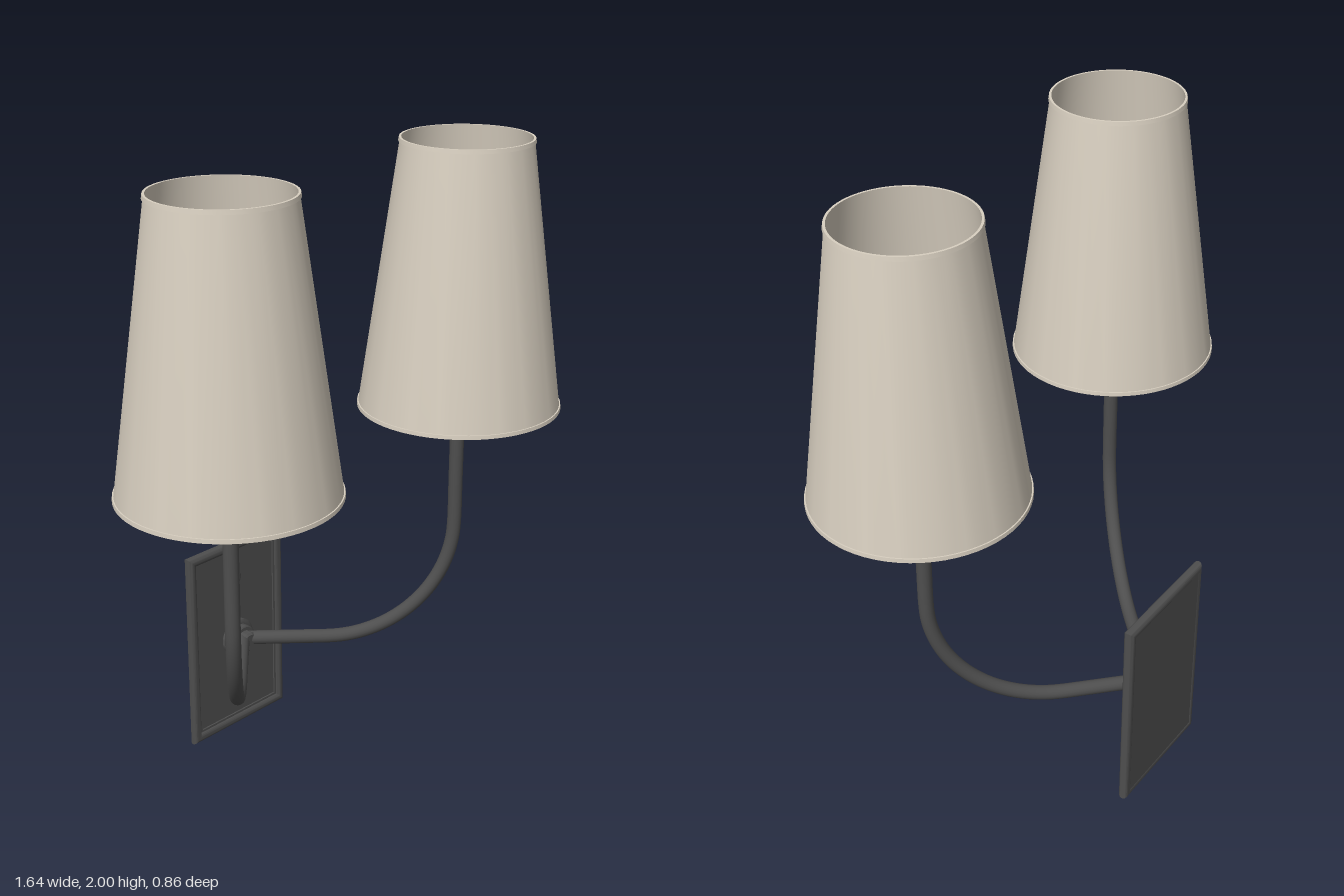
import * as THREE from 'three';
import { toCreasedNormals } from 'three/addons/utils/BufferGeometryUtils.js';

const metal = new THREE.MeshStandardMaterial({ color: 0x4e4e4e });
metal.name = 'dark metal';
const linen = new THREE.MeshStandardMaterial({ color: 0xd8cfc0 });
linen.name = 'linen shade';
const glass = new THREE.MeshStandardMaterial({ color: 0xe0d8ca });
glass.name = 'bulb glass';

const ARM_Y = 0.335, SHADE_X = 0.5, SHADE_Z = 0.107, WALL_Z = -0.38;

function add(parent, name, geometry, material, x = 0, y = 0, z = 0) {
  const mesh = new THREE.Mesh(geometry, material);
  mesh.name = name;
  mesh.position.set(x, y, z);
  parent.add(mesh);
  return mesh;
}

// Turned part from [radius, height] pairs, with sharp steps kept
function turned(points, segments = 48) {
  const profile = points.map(([r, y]) => new THREE.Vector2(r, y));
  return toCreasedNormals(new THREE.LatheGeometry(profile, segments), 0.6);
}

function rectangle(path, w, h) {
  path.moveTo(-w, -h);
  path.lineTo(w, -h);
  path.lineTo(w, h);
  path.lineTo(-w, h);
  path.closePath();
  return path;
}

function createBackplate() {
  const plate = new THREE.Group();
  plate.name = 'backplate';

  // Rounded, mitred border
  const bead = 0.016;
  const border = rectangle(new THREE.Shape(), 0.21 - bead, 0.343 - bead);
  border.holes.push(rectangle(new THREE.Path(), 0.208 - bead, 0.341 - bead));
  const borderGeometry = new THREE.ExtrudeGeometry(border, {
    depth: 0.002, bevelEnabled: true, bevelSize: bead, bevelThickness: bead, bevelSegments: 8,
  });
  add(plate, 'border', toCreasedNormals(borderGeometry, 0.7), metal, 0, 0.343, -0.414);
  add(plate, 'panel', new THREE.BoxGeometry(0.385, 0.652, 0.018), metal, 0, 0.343, -0.419);
  const step = rectangle(new THREE.Shape(), 0.185, 0.318);
  step.holes.push(rectangle(new THREE.Path(), 0.17, 0.303));
  add(plate, 'innerStep', new THREE.ExtrudeGeometry(step, { depth: 0.006, bevelEnabled: false }),
    metal, 0, 0.343, -0.411);

  // Domed screws
  for (const y of [0.14, 0.55]) {
    const screw = add(plate, 'screw',
      turned([[0.023, 0], [0.023, 0.004], [0.018, 0.009], [0.01, 0.012], [0, 0.013]], 24),
      metal, 0, y, -0.41);
    screw.rotation.x = Math.PI / 2;
  }

  // Stepped boss that holds the arms
  const boss = add(plate, 'boss', turned([
    [0.064, 0], [0.064, 0.012], [0.058, 0.016], [0.048, 0.016], [0.048, 0.036], [0.044, 0.039],
    [0.033, 0.039], [0.033, 0.062], [0.027, 0.069], [0, 0.069],
  ]), metal, 0, 0.33, -0.411);
  boss.rotation.x = Math.PI / 2;
  return plate;
}

// Arm runs out diagonally, then sweeps up through a quarter circle
function createArmGeometry(side) {
  const at = (t, y) => new THREE.Vector3(
    side * SHADE_X * t, y, WALL_Z + (SHADE_Z - WALL_Z) * t);
  const reach = Math.hypot(SHADE_X, SHADE_Z - WALL_Z);
  const bend = 0.42;
  const points = [at(0, ARM_Y), at(0.2, ARM_Y), at(0.36, ARM_Y)];
  for (let i = 0; i <= 12; i++) {
    const a = (i / 12) * Math.PI / 2;
    points.push(at(1 - (bend / reach) * (1 - Math.sin(a)), ARM_Y + bend * (1 - Math.cos(a))));
  }
  points.push(at(1, 0.9), at(1, 1.02), at(1, 1.145));
  return new THREE.TubeGeometry(new THREE.CatmullRomCurve3(points), 80, 0.023, 16);
}

function createLamp(side) {
  const lamp = new THREE.Group();
  lamp.name = side > 0 ? 'leftLamp' : 'rightLamp';
  add(lamp, 'arm', createArmGeometry(side), metal);
  const x = side * SHADE_X;

  // Flanged cup and slim stem
  add(lamp, 'socket', turned([
    [0, 1.133], [0.064, 1.133], [0.064, 1.147], [0.047, 1.147], [0.047, 1.168], [0.04, 1.172],
    [0.03, 1.172], [0.03, 1.2], [0.021, 1.204], [0.021, 1.3], [0, 1.3],
  ]), metal, x, 0, SHADE_Z);

  // Bulb
  const outline = new THREE.SplineCurve([
    [0.02, 1.3], [0.026, 1.33], [0.05, 1.375], [0.061, 1.42], [0.05, 1.459], [0.027, 1.478], [0, 1.483],
  ].map(([r, y]) => new THREE.Vector2(r, y))).getPoints(24);
  outline[outline.length - 1].x = 0;
  add(lamp, 'bulb', new THREE.LatheGeometry(outline, 32), glass, x, 0, SHADE_Z);

  // Thin tapered shade, open at both ends, with narrow hems
  add(lamp, 'shade', turned([
    [0.312, 1.16], [0.321, 1.16], [0.32, 1.172], [0.316, 1.172], [0.201, 1.988],
    [0.205, 1.988], [0.203, 2], [0.196, 2], [0.312, 1.16],
  ], 64), linen, x, 0, SHADE_Z);
  return lamp;
}

export function createModel() {
  const model = new THREE.Group();
  model.name = 'twinWallLamp';
  model.add(createBackplate(), createLamp(1), createLamp(-1));
  return model;
}
